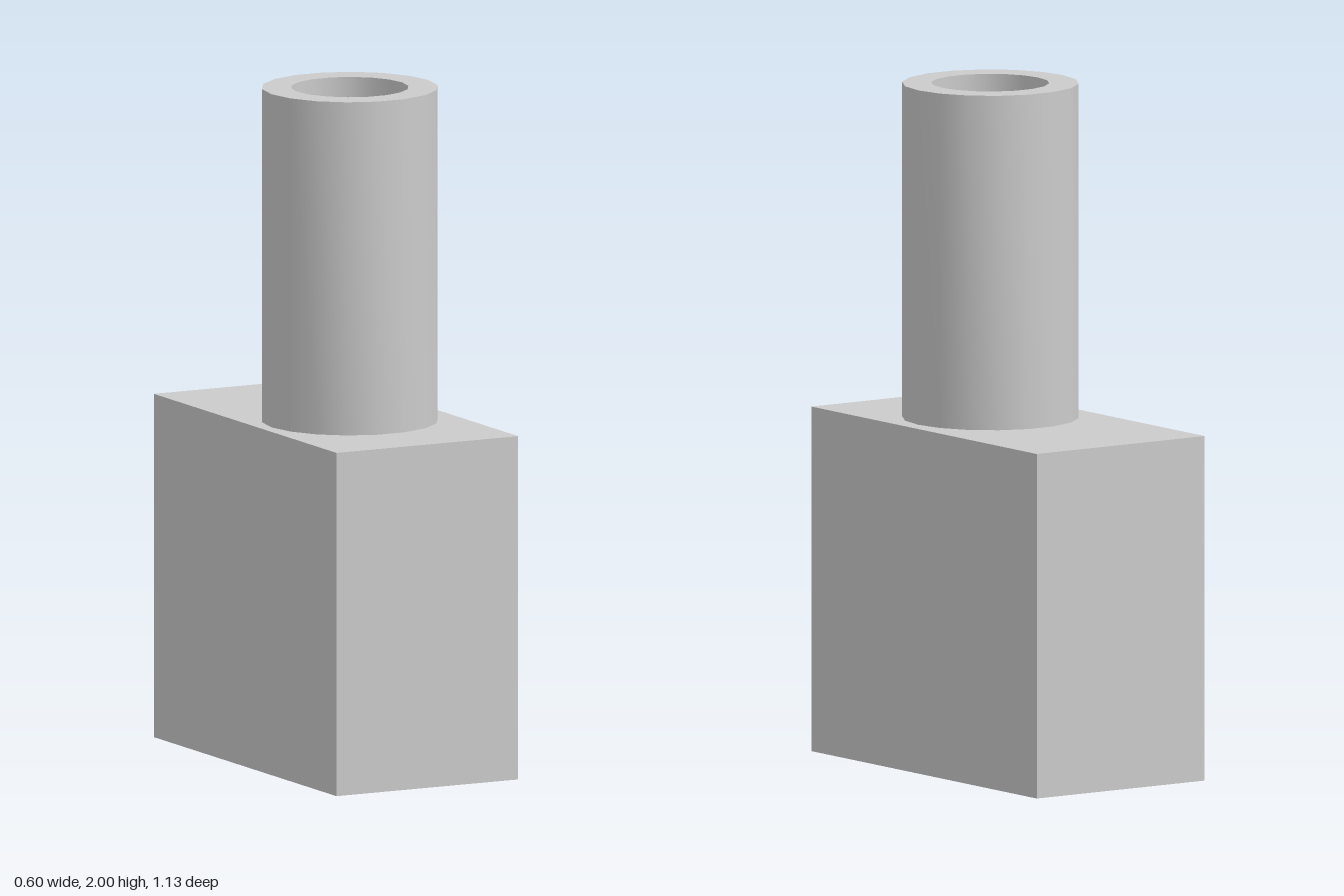
import * as THREE from 'three';
import { toCreasedNormals } from 'three/addons/utils/BufferGeometryUtils.js';

export function createModel() {
  const group = new THREE.Group();
  const material = new THREE.MeshStandardMaterial({ color: 0xcccccc });
  const baseHeight = 1.015, topHeight = 2;

  // Solid rectangular base
  const base = new THREE.Mesh(new THREE.BoxGeometry(0.6, baseHeight, 1.13), material);
  base.name = 'base';
  base.position.y = baseHeight / 2;
  group.add(base);

  // Hollow 18-sided pipe standing on the base: outer wall, rim, inner wall
  const outer = 0.258, inner = 0.172;
  const profile = [
    [outer, baseHeight], [outer, topHeight], [inner, topHeight], [inner, baseHeight],
  ].map(([r, y]) => new THREE.Vector2(r, y));
  const pipeGeometry = new THREE.LatheGeometry(profile, 18, Math.PI / 2);
  const pipe = new THREE.Mesh(toCreasedNormals(pipeGeometry, Math.PI / 6), material);
  pipe.name = 'pipe';
  pipe.position.set(-0.006, 0, 0.097);
  group.add(pipe);

  return group;
}
